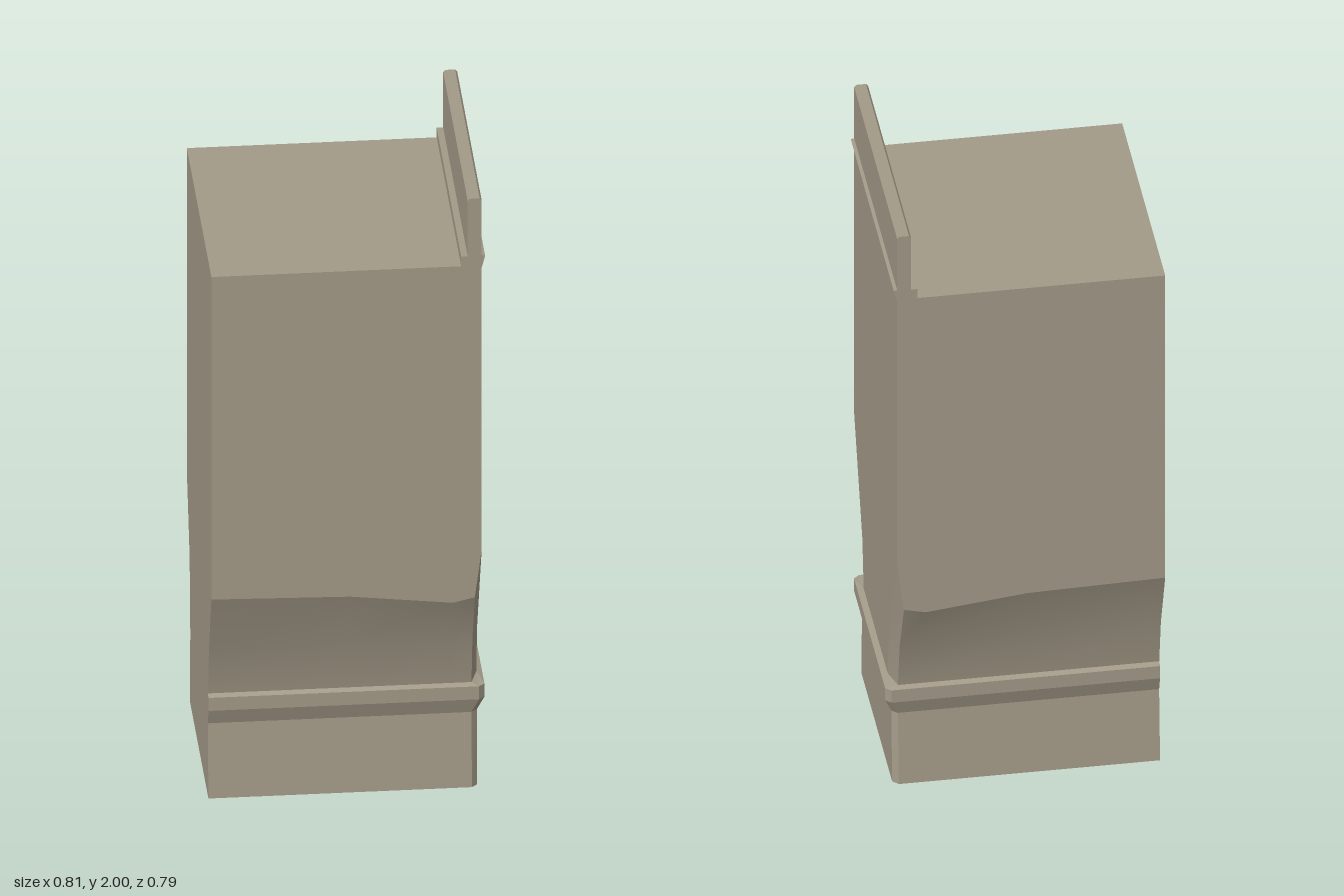
import * as THREE from 'three';

const BACK = -0.405;

// Horizontal section: side points, chamfer corner, then mirrored to the other side.
// ys gives the height of the four side points and the corner point.
function ring(ys, w, xs, xf, zf) {
  const y = Array.isArray(ys) ? ys : Array(5).fill(ys);
  const half = [[BACK, w], [0, w], [0.3, w], [xs, w], [xf, zf]]
    .map(([x, z], i) => new THREE.Vector3(x, y[i], z));
  const other = half.map(p => new THREE.Vector3(p.x, p.y, -p.z)).reverse();
  return [...half, ...other];
}

// Skin the chosen columns between consecutive sections.
function loft(rings, cols, smooth = false) {
  const n = rings[0].length, index = [];
  for (let r = 0; r < rings.length - 1; r++) {
    for (const c of cols) {
      const d = (c + 1) % n, a = r * n;
      index.push(a + c, a + d, a + n + d, a + c, a + n + d, a + n + c);
    }
  }
  return finish(rings.flat(), index, smooth);
}

function cap(points, up) {
  const index = [];
  for (let i = 1; i < points.length - 1; i++) index.push(0, up ? i : i + 1, up ? i + 1 : i);
  return finish(points, index, false);
}

function finish(points, index, smooth) {
  let g = new THREE.BufferGeometry().setFromPoints(points);
  g.setIndex(index);
  if (!smooth) g = g.toNonIndexed();
  g.computeVertexNormals();
  return g;
}

export function createModel() {
  const model = new THREE.Group();
  model.name = 'pillar';
  const stone = new THREE.MeshStandardMaterial({ color: 0xa39a88 });
  stone.name = 'warm grey stone';
  const add = (name, geometry) => {
    const mesh = new THREE.Mesh(geometry, stone);
    mesh.name = name;
    model.add(mesh);
  };
  const all = [0, 1, 2, 3, 4, 5, 6, 7, 8, 9];

  // Tapered foot with a projecting collar
  const neck = ring(0.34, 0.285, 0.365, 0.385, 0.22);
  const foot = [
    ring(0, 0.30, 0.365, 0.382, 0.283),
    ring(0.24, 0.283, 0.365, 0.382, 0.268),
    ring(0.29, 0.30, 0.386, 0.403, 0.285),
    ring(0.333, 0.30, 0.386, 0.403, 0.285),
    neck,
  ];
  add('footAndCollar', loft(foot, all));
  add('footBottom', cap(foot[0], false));

  // Flare widening from the neck to the shaft
  const shoulder = ring([0.71, 0.70, 0.665, 0.68, 0.84], 0.395, 0.365, 0.385, 0.395);
  const flare = [neck, ring(0.5, 0.315, 0.365, 0.385, 0.245), shoulder];
  add('flareLeftSide', loft(flare, [0, 1, 2], true));
  add('flareRightSide', loft(flare, [6, 7, 8], true));
  add('flareCornerA', loft(flare, [3], true));
  add('flareCornerB', loft(flare, [5], true));
  add('flareFaces', loft(flare, [4, 9]));

  // Plain block shaft
  const top = ring(1.778, 0.395, 0.365, 0.385, 0.395);
  add('shaft', loft([shoulder, top], all));
  add('shaftTop', cap(top, true));

  // Upright rail with a step inside and a moulding outside
  const profile = new THREE.Shape([
    [0.325, 1.77], [0.385, 1.77], [0.395, 1.81], [0.385, 1.812], [0.385, 1.993],
    [0.379, 2], [0.35, 2], [0.344, 1.993], [0.344, 1.81], [0.325, 1.81],
  ].map(([x, y]) => new THREE.Vector2(x, y)));
  const rail = new THREE.ExtrudeGeometry(profile, { depth: 0.79, bevelEnabled: false });
  rail.translate(0, 0, -0.395);
  add('topRail', rail);

  return model;
}
